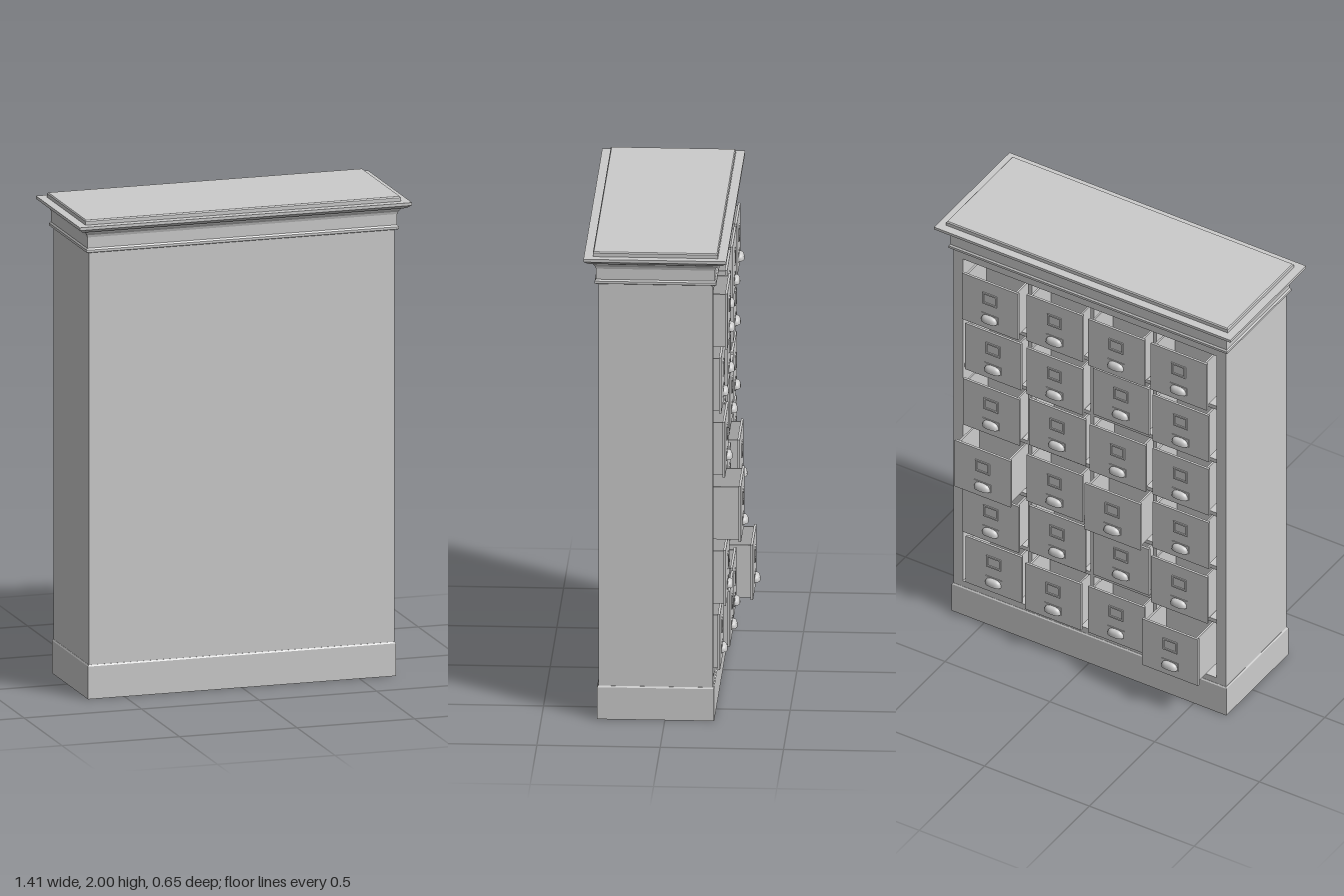
import * as THREE from 'three';

const mat = new THREE.MeshStandardMaterial({ color: 0xcccccc });
const thin = new THREE.MeshStandardMaterial({ color: 0xcccccc, side: THREE.DoubleSide });

// Cabinet body extents
const HX = 0.65, Z0 = -0.195, Z1 = 0.27;

function box(parent, name, x0, x1, y0, y1, z0, z1) {
  const m = new THREE.Mesh(new THREE.BoxGeometry(x1 - x0, y1 - y0, z1 - z0), mat);
  m.position.set((x0 + x1) / 2, (y0 + y1) / 2, (z0 + z1) / 2);
  m.name = name;
  parent.add(m);
  return m;
}

// Mitred moulding: each [offset, y] of the profile is a rectangle around the body
function moulding(parent, name, profile) {
  const ring = ([d, y]) => [
    [-HX - d, y, Z1 + d], [HX + d, y, Z1 + d], [HX + d, y, Z0 - d], [-HX - d, y, Z0 - d],
  ];
  const pos = [];
  const quad = (a, b, c, d) => pos.push(...a, ...b, ...c, ...a, ...c, ...d);
  const rings = profile.map(ring);
  for (let i = 0; i + 1 < rings.length; i++) {
    for (let k = 0; k < 4; k++) {
      const n = (k + 1) % 4;
      quad(rings[i][k], rings[i][n], rings[i + 1][n], rings[i + 1][k]);
    }
  }
  const lo = rings[0], hi = rings[rings.length - 1];
  quad(lo[3], lo[2], lo[1], lo[0]);
  quad(hi[0], hi[1], hi[2], hi[3]);
  const g = new THREE.BufferGeometry();
  g.setAttribute('position', new THREE.Float32BufferAttribute(pos, 3));
  g.computeVertexNormals();
  const m = new THREE.Mesh(g, mat);
  m.name = name;
  parent.add(m);
}

// Open-topped drawer; local z = 0 is the outer face, which looks towards -z
function makeDrawer() {
  const d = new THREE.Group();
  const W = 0.134, H = 0.118, w = 0.122, h = 0.112, L = 0.165, t = 0.008;
  box(d, 'drawerFront', -W, W, -H, H, 0, 0.01);
  for (const s of [-1, 1]) {
    const x = s * (w - t / 2);
    box(d, 'drawerSide', x - t / 2, x + t / 2, -h, h, 0.01, L);
  }
  box(d, 'drawerBottom', -w + t, w - t, -h, -h + t, 0.01, L);
  box(d, 'drawerBack', -w + t, w - t, -h + t, h, L - t, L);

  // Label frame
  const shape = new THREE.Shape();
  const rect = (p, a, b) => p.moveTo(-a, -b).lineTo(a, -b).lineTo(a, b).lineTo(-a, b).closePath();
  rect(shape, 0.034, 0.028);
  const hole = new THREE.Path();
  rect(hole, 0.027, 0.021);
  shape.holes.push(hole);
  const label = new THREE.Mesh(new THREE.ExtrudeGeometry(shape, { depth: 0.005, bevelEnabled: false }), mat);
  label.position.set(0, 0.035, -0.005);
  label.name = 'labelFrame';
  d.add(label);

  // Cup pull: hood open underneath, on a thin back plate
  const hood = new THREE.SphereGeometry(1, 20, 8, 0, Math.PI, 0, Math.PI / 2);
  hood.rotateY(Math.PI);
  const p = hood.attributes.position;
  for (let i = 0; i < p.count; i++) {
    // square off the dome slightly
    const sq = (v) => Math.sign(v) * Math.pow(Math.abs(v), 0.75);
    p.setXYZ(i, sq(p.getX(i)) * 0.037, sq(p.getY(i)) * 0.03, sq(p.getZ(i)) * 0.021);
  }
  hood.computeVertexNormals();
  const pull = new THREE.Mesh(hood, thin);
  pull.position.set(0, -0.075, -0.002);
  pull.name = 'cupPull';
  d.add(pull);
  box(d, 'pullPlate', -0.04, 0.04, -0.079, -0.042, -0.003, 0);
  return d;
}

export function createModel() {
  const cabinet = new THREE.Group();
  cabinet.name = 'drawerCabinet';

  // Carcass around a recessed drawer opening
  const ox = 0.605, y0 = 0.17, y1 = 1.82, zr = -0.015;
  box(cabinet, 'carcassPanel', -HX, HX, 0.1, 1.9, zr, Z1);
  box(cabinet, 'leftStile', ox, HX, 0.1, 1.9, Z0, zr);
  box(cabinet, 'rightStile', -HX, -ox, 0.1, 1.9, Z0, zr);
  box(cabinet, 'bottomRail', -ox, ox, 0.1, y0, Z0, zr);
  box(cabinet, 'topRail', -ox, ox, y1, 1.9, Z0, zr);

  // Plinth and cornice
  moulding(cabinet, 'plinth', [[0.005, 0], [0.005, 0.136], [0.001, 0.142]]);
  moulding(cabinet, 'cornice', [
    [0.008, 1.86], [0.014, 1.863], [0.014, 1.873], [0.009, 1.88], [0.009, 1.925],
    [0.012, 1.935], [0.019, 1.945], [0.022, 1.952], [0.034, 1.953], [0.042, 1.957],
    [0.05, 1.964], [0.057, 1.968], [0.057, 1.98], [0.021, 1.98], [0.021, 1.995], [0.017, 2],
  ]);

  // Dividers
  const colX = (c) => 0.4415 - 0.298 * c;
  const rowY = (r) => 1.68 - 0.274 * r;
  const zd = Z0 + 0.012;
  for (let c = 0; c < 3; c++) {
    const x = colX(c + 0.5);
    box(cabinet, 'verticalDivider', x - 0.009, x + 0.009, y0, y1, zd, zr);
  }
  for (let r = 0; r < 5; r++) {
    const y = rowY(r + 0.5);
    box(cabinet, 'shelf', -ox, ox, y - 0.009, y + 0.009, zd, zr);
  }

  // Drawers, each pulled out by its own amount
  const pulledOut = [
    [0.055, 0.038, 0.044, 0.045],
    [0.03, 0.038, 0.008, 0.03],
    [0.045, 0.018, 0.033, 0.03],
    [0.11, 0.038, 0.073, 0.03],
    [0.048, 0.018, 0.008, 0.04],
    [0.025, 0.049, 0.044, 0.11],
  ];
  pulledOut.forEach((row, r) => row.forEach((out, c) => {
    const d = makeDrawer();
    d.name = 'drawer';
    d.position.set(colX(c), rowY(r), Z0 - out);
    cabinet.add(d);
  }));
  return cabinet;
}
